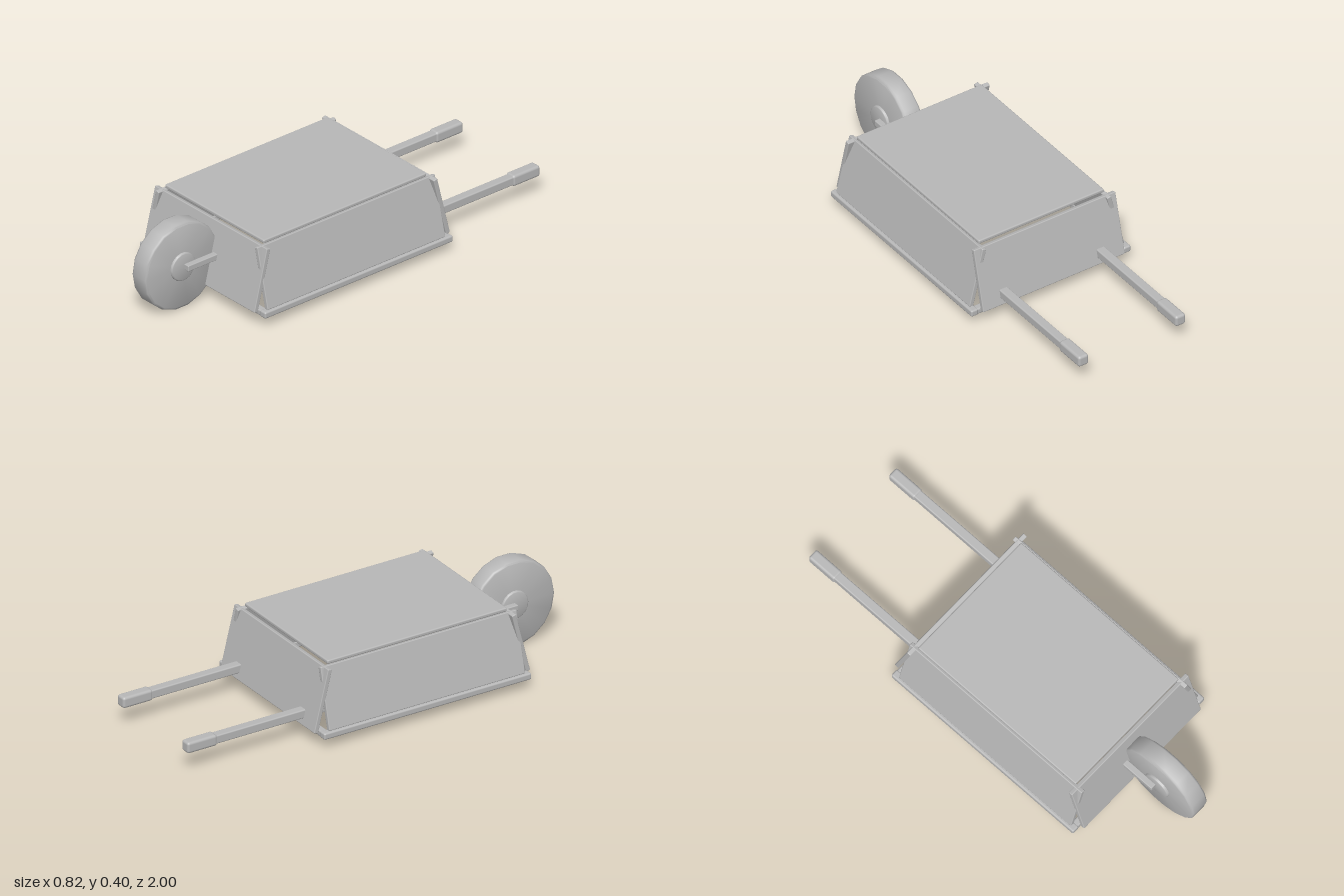
import * as THREE from 'three';
import { RoundedBoxGeometry } from 'three/addons/geometries/RoundedBoxGeometry.js';
import { toCreasedNormals } from 'three/addons/utils/BufferGeometryUtils.js';

const grey = new THREE.MeshStandardMaterial({ color: 0xb8b8b8 });
grey.name = 'plainGrey';

export function createModel() {
  const model = new THREE.Group();
  model.name = 'upturnedWheelbarrow';

  const add = (name, geometry, x, y, z) => {
    const mesh = new THREE.Mesh(geometry, grey);
    mesh.name = name;
    mesh.position.set(x, y, z);
    model.add(mesh);
    return mesh;
  };
  const box = (name, w, h, d, x, y, z, r = 0.004) =>
    add(name, new RoundedBoxGeometry(w, h, d, 2, r), x, y, z);

  // Solid of revolution lying along x, with bevelled rims
  const disc = (name, radius, half, bevel, sides, x, y, z) => {
    const b = bevel * 0.3;
    const profile = [
      [0, -half], [radius - bevel, -half], [radius - b, -half + b], [radius, -half + bevel],
      [radius, half - bevel], [radius - b, half - b], [radius - bevel, half], [0, half],
    ].map(([r, h]) => new THREE.Vector2(r, h));
    const geometry = toCreasedNormals(new THREE.LatheGeometry(profile, sides), 0.9);
    geometry.rotateZ(Math.PI / 2);
    return add(name, geometry, x, y, z);
  };

  // Tray: floor on top, four leaning walls
  const lean = Math.atan(0.25);
  box('trayFloor', 0.645, 0.018, 0.905, 0, 0.363, 0.126, 0.006);
  box('frontWall', 0.73, 0.293, 0.021, 0, 0.21, 0.622).rotation.x = -lean;
  box('backWall', 0.73, 0.293, 0.021, 0, 0.21, -0.376).rotation.x = lean;
  for (const s of [-1, 1]) {
    box('sideWall', 0.021, 0.282, 0.988, s * 0.355, 0.216, 0.127).rotation.z = s * lean;
  }

  // Rim frame under the walls
  for (const s of [-1, 1]) {
    box('sideRim', 0.036, 0.031, 1.045, s * 0.393, 0.066, 0.123, 0.008);
    box('endRim', 0.8, 0.029, 0.034, 0, 0.065, 0.123 + s * 0.503, 0.008);
  }

  // Wheel, hub and fork
  disc('wheel', 0.205, 0.045, 0.011, 18, 0, 0.208, 0.795);
  disc('hub', 0.066, 0.056, 0.006, 18, 0, 0.208, 0.795);
  for (const s of [-1, 1]) {
    box('forkArm', 0.029, 0.028, 0.21, s * 0.067, 0.208, 0.687);
  }

  // Handles with thicker grips
  for (const s of [-1, 1]) {
    box('handle', 0.042, 0.04, 0.76, s * 0.25, 0.12, -0.5, 0.006);
    box('grip', 0.052, 0.052, 0.15, s * 0.25, 0.12, -0.925, 0.012);
  }
  return model;
}
